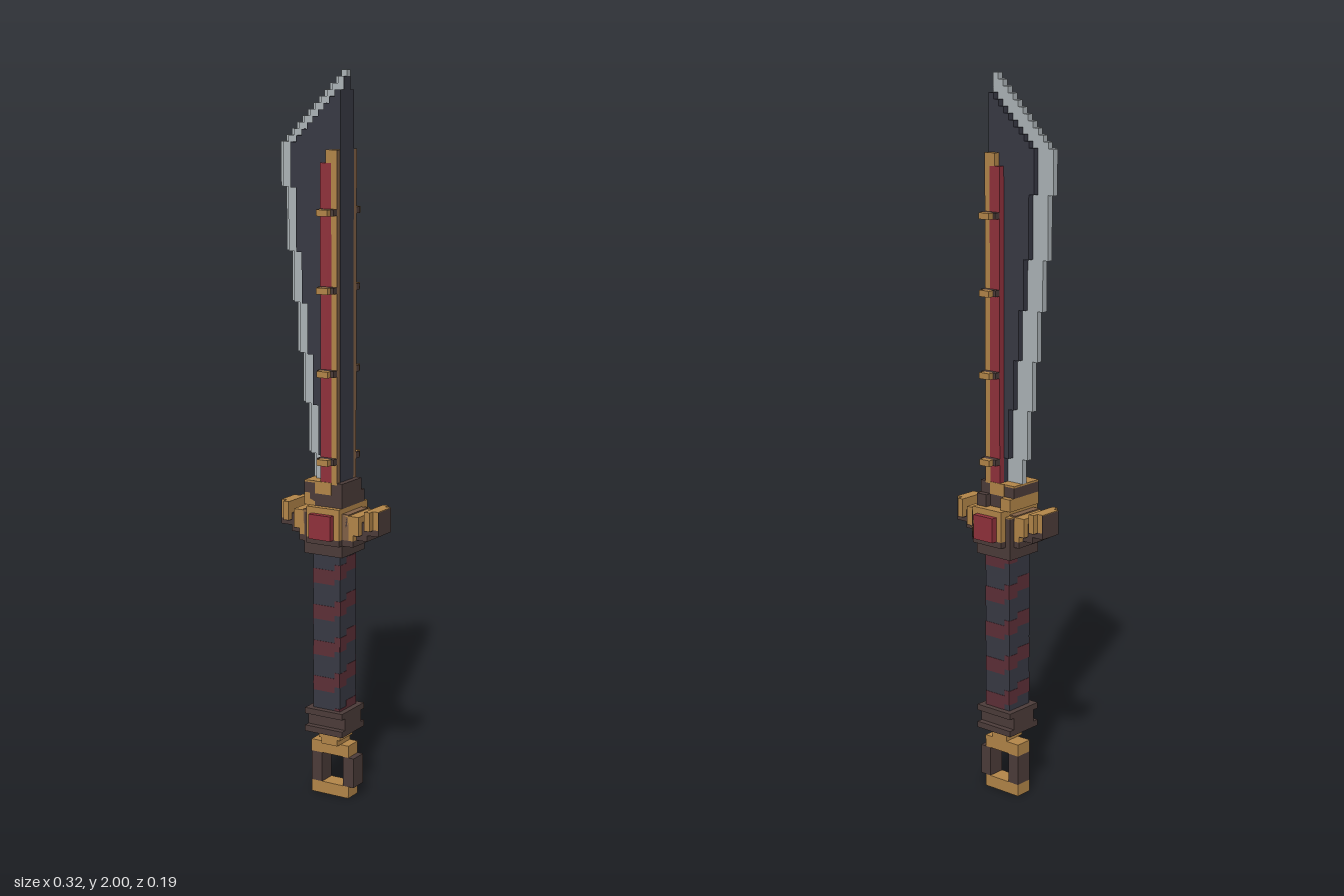
import * as THREE from 'three';
import { mergeGeometries } from 'three/addons/utils/BufferGeometryUtils.js';

// Everything sits on a block grid: 19 wide (x), 117 high (y), 11 deep (z).
const U = 2 / 117;
const X = i => (i - 9.5) * U;
const Y = j => j * U;
const Z = k => (k - 5.5) * U;

const mat = (name, color) => {
  const m = new THREE.MeshStandardMaterial({ color });
  m.name = name;
  return m;
};

// Box spanning grid lines [from, to] on each axis
function block([i0, i1], [j0, j1], [k0, k1]) {
  const g = new THREE.BoxGeometry((i1 - i0) * U, (j1 - j0) * U, (k1 - k0) * U);
  g.translate((X(i0) + X(i1)) / 2, (Y(j0) + Y(j1)) / 2, (Z(k0) + Z(k1)) / 2);
  return g;
}

// Stepped blade outline, inset by d blocks from the cutting edge
function bladeLayer(d, k0, k1) {
  const starts = [99, 89, 81, 73, 65, 57, 53];
  const pts = [[12, 53]];
  for (let i = 11; i >= d; i--) pts.unshift([i, 106 + i - d], [i + 1, 106 + i - d]);
  starts.forEach((row, n) => {
    const upper = n ? starts[n - 1] : 106;
    if (n) pts.unshift([d + n, upper]);
    pts.unshift([d + n, row]);
  });
  const shape = new THREE.Shape(pts.map(([i, j]) => new THREE.Vector2(X(i), Y(j))));
  const g = new THREE.ExtrudeGeometry(shape, { depth: (k1 - k0) * U, bevelEnabled: false });
  return g.translate(0, 0, Z(k0));
}

export function createModel() {
  const gold = mat('gold', 0xb5874a);
  const brown = mat('dark brown', 0x4d3d3a);
  const bronze = mat('bronze', 0x836247);
  const red = mat('red', 0x92323c);
  const steel = mat('bright steel', 0xafb6ba);
  const dark = mat('dark steel', 0x393a45);
  const wrap = mat('wrap red', 0x5e3038);

  const model = new THREE.Group();
  model.name = 'sword';
  let group;
  const part = name => {
    group = new THREE.Group();
    group.name = name;
    model.add(group);
  };
  const add = (name, material, geos) => {
    const mesh = new THREE.Mesh(Array.isArray(geos) ? mergeGeometries(geos) : geos, material);
    mesh.name = name;
    group.add(mesh);
  };

  // Blade: thin cutting edge, thicker bevel, dark body and dark spine
  part('blade');
  add('cuttingEdge', steel, bladeLayer(0, 5, 6));
  add('edgeBevel', steel, bladeLayer(1, 5, 7));
  add('bladeBody', dark, bladeLayer(3, 4, 8));
  add('spine', dark, [block([11.9, 12.06], [53, 114], [4, 8]), block([11.9, 12.06], [114, 116], [5, 7])]);

  // Red inlay with gold trim and clamps on both faces
  part('inlay');
  const faces = [[3, 4], [8, 9]];
  add('inlayStrip', red, faces.map(k => block([9, 11], [53, 103], k)));
  add('inlayTrim', gold, faces.flatMap(k => [
    block([11, 11.95], [53, 105], k), block([10, 11], [103, 105], k)]));
  add('inlayTrimSides', bronze, faces.map(k => block([11.95, 12], [53, 105], k)));
  const rows = [56, 70, 83, 95];
  add('clampBases', brown, rows.flatMap(j => [[2, 3], [9, 10]].map(k => block([9, 12], [j, j + 1], k))));
  add('clampTips', gold, rows.flatMap(j => [[1, 2], [10, 11]].map(k => block([9.5, 11.5], [j, j + 1], k))));

  // Collar above the guard: brown with a gold lip and gold front and back panels
  part('collar');
  add('bladeCollar', brown, [block([6, 12], [51, 52.7], [3, 9]), block([12, 13], [51, 53], [3, 9])]);
  add('collarLip', gold, block([6, 12], [52.7, 53], [3, 9]));
  add('collarPanels', gold, [[2.9, 3], [9, 9.1]].map(k => block([8, 11], [51, 53], k)));
  add('collarBase', brown, [block([7, 13], [49, 51], [3, 9]), block([11, 13], [49, 51], [2, 9])]);
  add('collarStep', gold, block([6, 8], [49, 51], [2, 9]));

  // Guard centre with a gem on each face
  part('guard');
  add('gemFrame', gold, block([7, 13], [44, 49], [1, 10]));
  add('gemFrameBase', brown, block([7, 13], [43, 44], [1, 10]));
  add('guardCore', brown, block([6, 14], [43, 47.8], [2, 9]));
  add('guardCoreTop', gold, block([6, 14], [47.8, 48], [2, 9]));
  add('gems', red, [[0, 1], [10, 11]].map(k => block([8, 12], [44, 48], k)));

  // Guard wings, mirrored about grid line 10
  const pair = (a, b, j, k) => [block([a, b], j, k), block([20 - b, 20 - a], j, k)];
  add('wingRoots', bronze, pair(13, 14.2, [44, 48.2], [3, 9]));
  add('wingArms', gold, [...pair(14, 16, [45, 48], [3, 9]), ...pair(14, 15, [44, 45], [3, 9])]);
  add('wingUndersides', brown, [...pair(14, 15, [43, 44], [3, 9]),
    ...pair(15, 17, [44, 45], [4, 8]), ...pair(15, 16, [44.9, 45], [3, 9]),
    ...pair(16, 17, [45, 47], [4, 8])]);
  add('wingTips', gold, [...pair(17, 18.9, [46, 49], [4, 8]), ...pair(17, 18, [46, 49], [3, 9])]);
  add('wingTipBases', brown, [...pair(17, 19, [45, 46], [4, 8]), ...pair(17, 18, [45.9, 46], [3, 9])]);
  add('wingEndPlates', brown, pair(18.9, 19, [46, 48.9], [4, 8]));
  add('wingEndCaps', gold, pair(18.9, 19, [48.9, 49], [4, 8]));

  // Grip with a spiral wrap of thin plates
  part('grip');
  add('gripCore', dark, block([7, 12], [15, 41], [3, 8]));
  const plates = [];
  const t = 0.06;
  for (let c = 0; c < 20; c++) {
    const side = Math.floor(c / 5), s = c % 5;
    for (let n = -2; n < 4; n++) {
      const base = 18 + n * 6 + Math.floor(c * 0.3);
      const j = [Math.max(15, base), Math.min(41, base + 2.4)];
      if (j[1] <= j[0]) continue;
      if (side === 0) plates.push(block([7 + s, 8 + s], j, [8, 8 + t]));
      if (side === 1) plates.push(block([12, 12 + t], j, [7 - s, 8 - s]));
      if (side === 2) plates.push(block([11 - s, 12 - s], j, [3 - t, 3]));
      if (side === 3) plates.push(block([7 - t, 7], j, [3 + s, 4 + s]));
    }
  }
  add('gripWrap', wrap, plates);
  add('upperCollar', brown, [block([6, 13], [41, 43], [2, 9]), block([7, 13], [43, 44], [2, 9])]);
  add('lowerCollar', brown, [block([6, 13], [14, 15], [2, 9]), block([6, 13], [12, 14], [3, 8]),
    block([6, 13], [11, 12], [2, 9])]);

  // Pommel ring
  part('pommel');
  add('pommelNeck', gold, [block([8, 12], [10, 11], [4, 8]), block([8.5, 11.5], [9, 10], [4, 8])]);
  add('ringBars', gold, [block([6, 13], [7, 9], [4, 7]), block([6, 13], [0, 2], [4, 7])]);
  add('ringSides', brown, [block([6, 8], [2, 7], [4, 7]), block([12, 14], [2, 7], [4, 7])]);

  return model;
}
